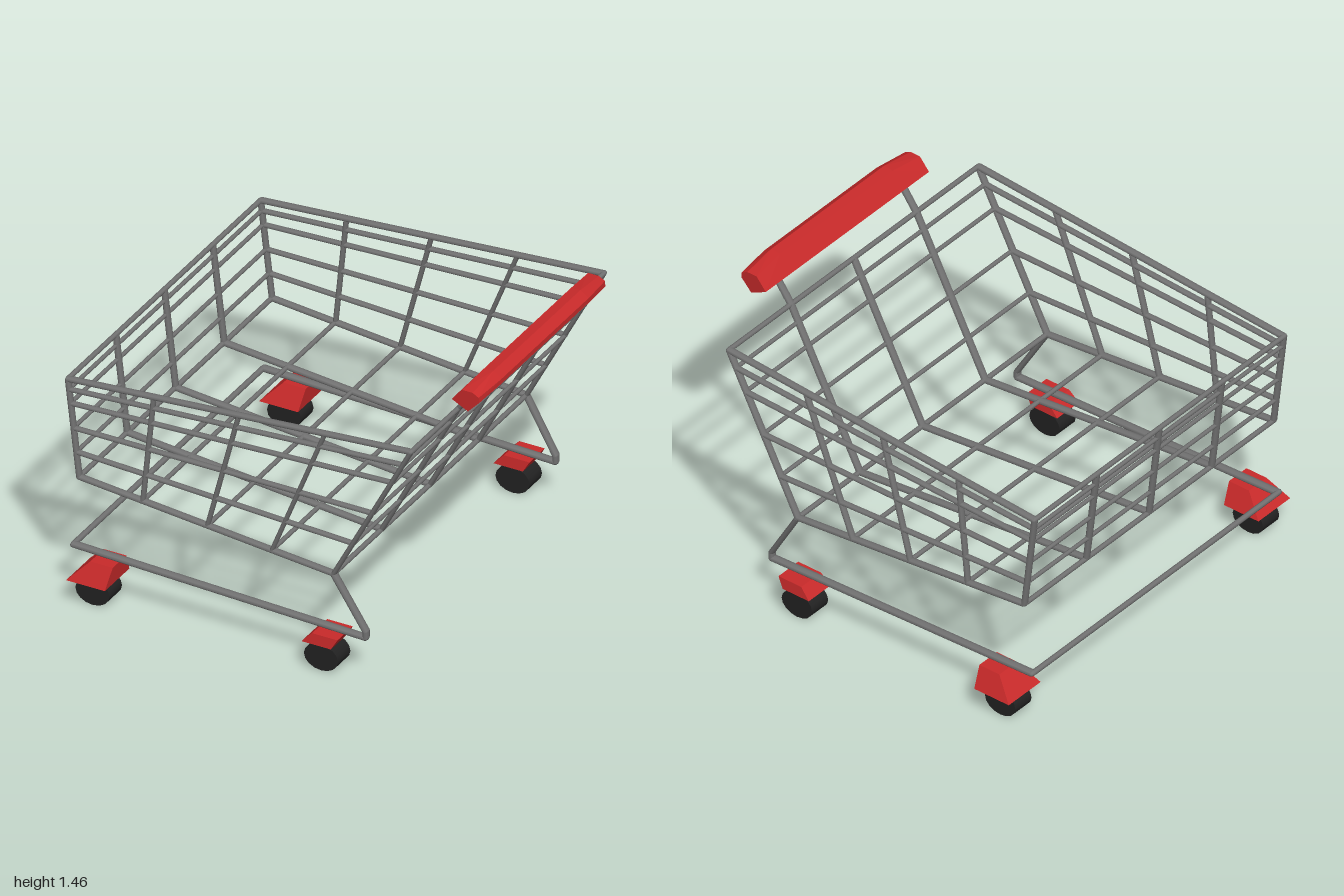
import * as THREE from 'three';
import { mergeGeometries } from 'three/addons/utils/BufferGeometryUtils.js';
import { ConvexGeometry } from 'three/addons/geometries/ConvexGeometry.js';

const STRETCH = 1.7; // rods are oval: wider across z than in x and y

export function createModel() {
  const steel = new THREE.MeshStandardMaterial({ name: 'steel grey', color: 0x727272 });
  const red = new THREE.MeshStandardMaterial({ name: 'plastic red', color: 0xc82a2a });
  const rubber = new THREE.MeshStandardMaterial({ name: 'rubber black', color: 0x222222 });
  const model = new THREE.Group();
  model.name = 'shoppingCart';
  const V = (x, y, z) => new THREE.Vector3(x, y, z);

  function addMesh(parent, name, geometry, material) {
    const mesh = new THREE.Mesh(geometry, material);
    mesh.name = name;
    parent.add(mesh);
    return mesh;
  }

  // Straight rods through a list of points, with rounded joints at the corners
  function rod(parent, name, points, r, closed = false) {
    const pts = points.map(p => V(p.x, p.y, p.z / STRETCH));
    const parts = [];
    const count = closed ? pts.length : pts.length - 1;
    for (let i = 0; i < count; i++) {
      const a = pts[i], b = pts[(i + 1) % pts.length];
      const dir = b.clone().sub(a), len = dir.length();
      const g = new THREE.CylinderGeometry(r, r, len, 8);
      g.applyQuaternion(new THREE.Quaternion().setFromUnitVectors(V(0, 1, 0), dir.normalize()));
      const mid = a.clone().add(b).multiplyScalar(0.5);
      parts.push(g.translate(mid.x, mid.y, mid.z));
      if (closed || i > 0) parts.push(new THREE.SphereGeometry(r, 8, 6).translate(a.x, a.y, a.z));
    }
    return addMesh(parent, name, mergeGeometries(parts).scale(1, 1, STRETCH), steel);
  }

  // Basket: horizontal hoops, each from a nose point to a rear point
  const basket = new THREE.Group();
  basket.name = 'basket';
  basket.position.z = 0.01;
  model.add(basket);
  const W = 0.885;
  const hoops = [
    [-0.91, 0.62, 0.39, 0.495], [-0.925, 0.745, 0.49, 0.68], [-0.94, 0.866, 0.59, 0.866],
    [-0.955, 0.99, 0.69, 1.055], [-0.963, 1.06, 0.745, 1.163], [-0.968, 1.113, 0.785, 1.243],
  ];
  hoops.forEach(([x0, y0, x1, y1], i) => {
    const r = i === 0 || i === 5 ? 0.012 : 0.01;
    rod(basket, 'basketHoop', [V(x0, y0, W), V(x1, y1, W), V(x1, y1, -W), V(x0, y0, -W)], r, true);
  });

  // Side ribs running under the floor
  const ribs = [
    [-0.53, 1.146, -0.585, 0.59], [-0.095, 1.178, -0.255, 0.558], [0.345, 1.21, 0.075, 0.526],
  ];
  for (const [xt, yt, xb, yb] of ribs)
    rod(basket, 'basketRib', [V(xt, yt, W), V(xb, yb, W), V(xb, yb, -W), V(xt, yt, -W)], 0.011);

  // Corner posts
  for (const z of [W, -W]) {
    rod(basket, 'frontCornerPost', [V(-0.91, 0.62, z), V(-0.968, 1.113, z)], 0.012);
    rod(basket, 'rearCornerPost', [V(0.39, 0.495, z), V(0.785, 1.243, z)], 0.012);
  }

  // Lengthwise bars; the outer two carry on up to the handle
  for (const z of [-0.445, 0, 0.445]) {
    const path = [V(-0.968, 1.113, z), V(-0.91, 0.62, z), V(0.39, 0.495, z), V(0.785, 1.243, z)];
    if (z !== 0) path.push(V(0.89, 1.385, z));
    rod(basket, 'lengthwiseBar', path, 0.0125);
  }

  // Handle, tapering towards its ends
  const middle = [[0.822, 1.37], [0.905, 1.328], [0.977, 1.4], [0.977, 1.425], [0.935, 1.455], [0.885, 1.45]];
  const end = [[0.822, 1.37], [0.905, 1.328], [0.962, 1.388], [0.96, 1.415], [0.928, 1.432], [0.874, 1.432]];
  const handlePoints = [];
  for (const s of [-1, 1]) {
    for (const [x, y] of middle) handlePoints.push(V(x, y, s * 0.4 + 0.01));
    for (const [x, y] of end) handlePoints.push(V(x, y, s * 0.58 + 0.01));
  }
  addMesh(model, 'handle', new ConvexGeometry(handlePoints), red);

  // Chassis: one frame from the basket down, forward and across the nose
  const side = s => [V(0.39, 0.495, s * 0.885 + 0.01), V(0.545, 0.23, s * 0.872 + 0.005),
    V(0.545, 0.197, s * 0.872 + 0.005), V(-0.95, 0.248, s * 0.872 + 0.005)];
  rod(model, 'chassisFrame', [...side(1), ...side(-1).reverse()], 0.0135);

  // Caster housing: [x from, x to, y, half width] for its bottom and top faces
  function housing(name, bottom, top, z) {
    const pts = [];
    for (const [x0, x1, y, w] of [bottom, top])
      for (const x of [x0, x1]) for (const s of [-1, 1]) pts.push(V(x, y, z + s * w));
    addMesh(model, name, new ConvexGeometry(pts), red);
  }

  for (const s of [-1, 1]) {
    housing('frontCaster', [-0.92, -0.722, 0.132, 0.113], [-0.825, -0.71, 0.23, 0.062], s * 0.887);
    housing('rearCaster', [0.26, 0.41, 0.138, 0.078], [0.31, 0.44, 0.19, 0.07], s * 0.882);
    // Slightly oval wheels
    for (const x of [-0.82, 0.347]) {
      const g = new THREE.CylinderGeometry(0.067, 0.067, 0.115, 16);
      g.rotateX(Math.PI / 2).scale(1.3, 1, 1).translate(x, 0.067, s * 0.88);
      addMesh(model, x < 0 ? 'frontWheel' : 'rearWheel', g, rubber);
    }
  }
  return model;
}
